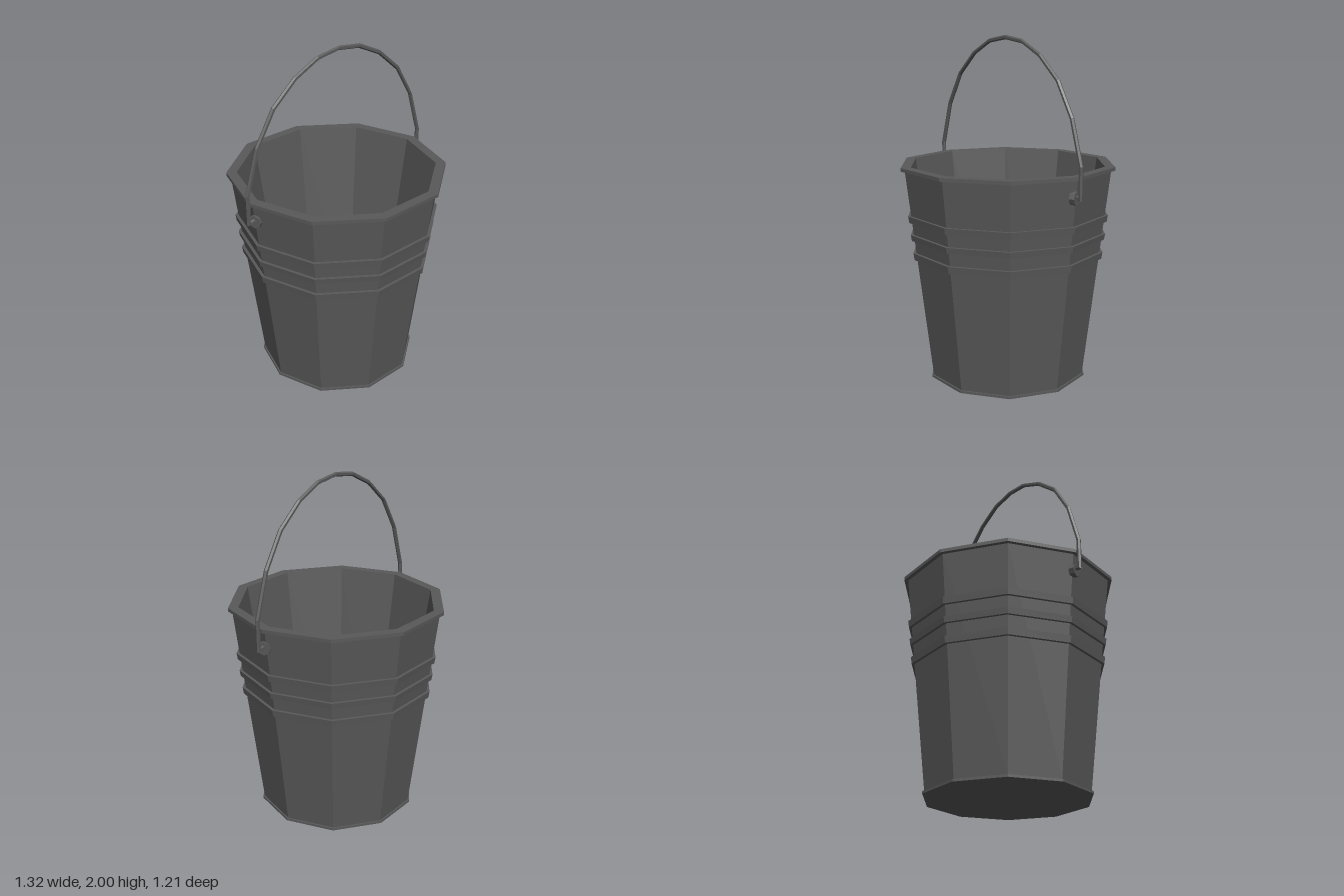
import * as THREE from 'three';

export function createModel() {
  const group = new THREE.Group();
  const metal = new THREE.MeshStandardMaterial({ color: 0x595959, flatShading: true });
  metal.name = 'dark grey metal';

  const add = (geometry, name) => {
    const mesh = new THREE.Mesh(geometry, metal);
    mesh.name = name;
    group.add(mesh);
    return mesh;
  };

  // Ten-sided turned part with corners on the x axis
  const turned = (profile, name) => add(
    new THREE.LatheGeometry(profile.map(([r, y]) => new THREE.Vector2(r, y)), 10, Math.PI / 2), name);

  // Bucket shell: underside, foot lip, outer wall, rim, inner wall, floor
  turned([
    [0, 0], [0.475, 0], [0.475, 0.014], [0.465, 0.014],
    [0.612, 1.25], [0.635, 1.25], [0.635, 1.27], [0.576, 1.27],
    [0.39, 0.025], [0, 0.025],
  ], 'bucketShell');

  // Raised bands around the wall
  [[0.73, 0.77, 0.57], [0.845, 0.88, 0.583], [0.952, 0.99, 0.596]].forEach(([low, high, r], i) =>
    turned([[r - 0.04, low], [r - 0.003, low], [r + 0.003, high], [r - 0.04, high]], `band${i + 1}`));

  // Washers that hold the handle
  const handleZ = 0.012;
  for (const side of [1, -1]) {
    const washer = add(new THREE.CylinderGeometry(0.038, 0.038, 0.032, 8), side > 0 ? 'leftWasher' : 'rightWasher');
    washer.rotation.set(Math.PI / 8, 0, Math.PI / 2, 'ZYX');
    washer.position.set(side * 0.6, 1.152, handleZ);
  }

  // Handle: six-sided wire with mitred bends
  const half = [
    [0.595, 1.162], [0.648, 1.155], [0.648, 1.325], [0.571, 1.575],
    [0.455, 1.765], [0.305, 1.893], [0.15, 1.967],
  ];
  const path = [
    ...half.map(([x, y]) => [-x, y]), [0, 1.988], ...half.slice().reverse(),
  ].map(([x, y]) => new THREE.Vector2(x, y));
  const sides = 6, radius = 0.0125;
  const positions = [], index = [];
  path.forEach((p, i) => {
    const a = p.clone().sub(path[Math.max(i - 1, 0)]).normalize();
    const b = path[Math.min(i + 1, path.length - 1)].clone().sub(p).normalize();
    const t = a.clone().add(b).normalize();
    const mitre = radius / Math.max(t.dot(i ? a : b), 0.5);
    for (let j = 0; j < sides; j++) {
      const angle = (j / sides) * Math.PI * 2;
      const off = Math.cos(angle) * mitre;
      positions.push(p.x - t.y * off, p.y + t.x * off, handleZ + Math.sin(angle) * radius);
      if (i < path.length - 1) {
        const k = i * sides + j, n = i * sides + (j + 1) % sides;
        index.push(k, n, k + sides, n, n + sides, k + sides);
      }
    }
  });
  const wire = new THREE.BufferGeometry();
  wire.setAttribute('position', new THREE.Float32BufferAttribute(positions, 3));
  wire.setIndex(index);
  wire.computeVertexNormals();
  add(wire, 'handle');

  return group;
}
